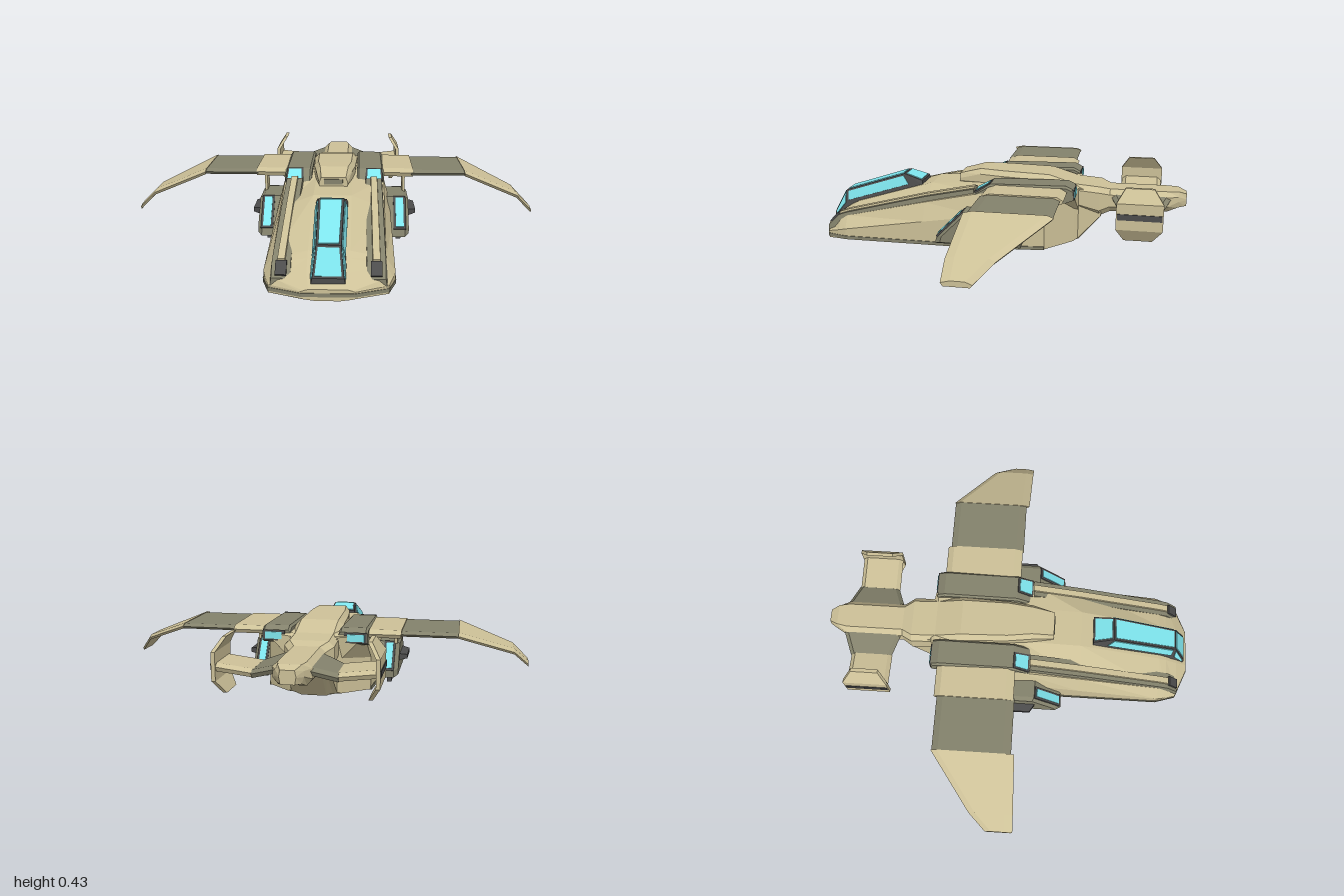
import * as THREE from 'three';

const paint = (color) => new THREE.MeshStandardMaterial({ color, flatShading: true });
const V = (x, y, z) => new THREE.Vector3(x, y, z);

// Closed solid through a list of rings; winding is fixed from the signed volume
function loft(rings) {
  const tris = [], n = rings[0].length;
  for (let r = 0; r < rings.length - 1; r++) {
    const a = rings[r], b = rings[r + 1];
    for (let i = 0; i < n; i++) {
      const j = (i + 1) % n;
      tris.push([a[i], b[i], a[j]], [a[j], b[i], b[j]]);
    }
  }
  const first = rings[0], last = rings[rings.length - 1];
  for (let i = 1; i < n - 1; i++) {
    tris.push([first[0], first[i], first[i + 1]], [last[0], last[i + 1], last[i]]);
  }
  const volume = tris.reduce((s, [a, b, c]) => s + a.dot(b.clone().sub(first[0]).cross(c.clone().sub(first[0]))) - first[0].dot(b.clone().sub(first[0]).cross(c.clone().sub(first[0]))), 0);
  const pts = tris.flatMap(([a, b, c]) => (volume < 0 ? [a, c, b] : [a, b, c]));
  const geo = new THREE.BufferGeometry().setFromPoints(pts);
  geo.computeVertexNormals();
  return geo;
}

const mirror = (rings) => rings.map((ring) => ring.map((p) => V(-p.x, p.y, p.z)));

// Rings of a box between two corners
function block(x0, x1, y0, y1, z0, z1) {
  return [z1, z0].map((z) => [V(x0, y0, z), V(x1, y0, z), V(x1, y1, z), V(x0, y1, z)]);
}

// Ring across z, symmetric in x, from half-profile points listed bottom to top
function symmetric(z, half) {
  return [...half.map(([x, y]) => V(x, y, z)), ...half.map(([x, y]) => V(-x, y, z)).reverse()];
}

// Thin plate lying on a quad, inset from its edges and straddling its surface
function plate(quad, inset, thick = 0.004) {
  const normal = quad[2].clone().sub(quad[0]).cross(quad[3].clone().sub(quad[1])).normalize();
  const inner = quad.map((p, i) => {
    const prev = quad[(i + 3) % 4].clone().sub(p).normalize();
    const next = quad[(i + 1) % 4].clone().sub(p).normalize();
    return p.clone().addScaledVector(prev, inset).addScaledVector(next, inset);
  });
  return [-1, 1].map((s) => inner.map((p) => p.clone().addScaledVector(normal, s * thick)));
}

export function createModel() {
  const tan = paint(0xcdc198), olive = paint(0x84826c), dark = paint(0x4c4c4c), glass = paint(0x7fe6ee);
  const model = new THREE.Group();
  model.name = 'spacecraft';
  const add = (name, rings, mat) => {
    const mesh = new THREE.Mesh(loft(rings), mat);
    mesh.name = name;
    model.add(mesh);
  };
  const pair = (name, rings, mat) => {
    add(name + 'Left', rings, mat);
    add(name + 'Right', mirror(rings), mat);
  };

  // Hull: z, keel x/y, bilge x, side x, side bottom/top y, shoulder x/y, deck x/y
  const hull = [
    [0.92, 0.05, 0.06, 0.10, 0.11, 0.07, 0.10, 0.10, 0.105, 0.08, 0.11],
    [0.86, 0.06, 0.035, 0.13, 0.25, 0.07, 0.105, 0.22, 0.13, 0.09, 0.16],
    [0.80, 0.065, 0.014, 0.13, 0.27, 0.075, 0.12, 0.235, 0.175, 0.09, 0.20],
    [0.76, 0.065, 0.012, 0.13, 0.28, 0.075, 0.13, 0.24, 0.19, 0.09, 0.22],
    [0.35, 0.065, 0.0, 0.13, 0.28, 0.075, 0.195, 0.245, 0.285, 0.09, 0.345],
    [0.05, 0.065, 0.055, 0.13, 0.28, 0.075, 0.24, 0.25, 0.35, 0.09, 0.36],
    [-0.25, 0.06, 0.07, 0.12, 0.25, 0.08, 0.24, 0.25, 0.37, 0.09, 0.38],
    [-0.38, 0.06, 0.078, 0.10, 0.13, 0.09, 0.26, 0.235, 0.37, 0.09, 0.375],
    [-0.40, 0.06, 0.08, 0.09, 0.11, 0.10, 0.25, 0.11, 0.36, 0.09, 0.365],
    [-0.51, 0.06, 0.21, 0.08, 0.10, 0.22, 0.28, 0.10, 0.33, 0.08, 0.35],
  ];
  add('hull', hull.map(([z, kx, ky, bx, sx, s0, s1, hx, hy, dx, dy]) =>
    symmetric(z, [[kx, ky], [bx, s0 - 0.003], [sx, s0], [sx, s1], [hx, hy], [dx, dy]])), tan);

  // Rubbing strip around the lower edge of the hull
  const outline = [[0.11, 0.923], [0.253, 0.862], [0.284, 0.76], [0.284, 0.05], [0.255, -0.25]];
  add('edgeStrip', [0.078, 0.094].map((y) => [
    ...outline.map(([x, z]) => V(x, y, z)), ...outline.map(([x, z]) => V(-x, y, z)).reverse()]), olive);

  // Spine and tail boom: z, side half width, top half width, bottom y, top y
  const spine = [
    [0.21, 0.07, 0.06, 0.33, 0.395], [0.10, 0.09, 0.07, 0.33, 0.425], [-0.02, 0.105, 0.085, 0.32, 0.422],
    [-0.25, 0.115, 0.09, 0.30, 0.415], [-0.38, 0.115, 0.09, 0.25, 0.375], [-0.50, 0.115, 0.09, 0.22, 0.365],
    [-0.55, 0.085, 0.06, 0.235, 0.35], [-0.83, 0.085, 0.06, 0.25, 0.35], [-0.88, 0.06, 0.05, 0.27, 0.35],
    [-0.92, 0.035, 0.03, 0.275, 0.335],
  ];
  add('spine', spine.map(([z, w, t, y0, y1]) =>
    symmetric(z, [[t, y0], [w, y0 + 0.03], [w, y1 - 0.025], [t, y1]])), tan);
  add('spineIntake', block(-0.045, 0.045, 0.362, 0.387, 0.2, 0.214), olive);

  // Canopy: dark framed body with inset glass
  const canopy = [[0.90, 0.075, 0.11, 0.065, 0.15], [0.835, 0.075, 0.17, 0.052, 0.27],
    [0.51, 0.075, 0.295, 0.058, 0.375], [0.41, 0.075, 0.325, 0.068, 0.345]]
    .map(([z, bx, by, tx, ty]) => [V(-bx, by, z), V(bx, by, z), V(tx, ty, z), V(-tx, ty, z)]);
  add('canopyFrame', canopy, dark);
  for (let i = 0; i < 3; i++) {
    const a = canopy[i], b = canopy[i + 1];
    add('canopyTopGlass' + i, plate([a[3], a[2], b[2], b[3]], 0.009), glass);
  }
  const sideQuad = [V(0.069, 0.205, 0.83), canopy[1][2], canopy[2][2], V(0.074, 0.318, 0.47)];
  pair('canopySideGlass', plate(sideQuad, 0.01), glass);
  pair('canopyCornerGlass', plate([V(0.073, 0.13, 0.89), canopy[0][2], canopy[1][2], V(0.07, 0.2, 0.835)], 0.008), glass);

  // Deck rails with a raised centre strip and front grille
  const rail = (x0, x1, h) => [[0.865, 0.135], [0.81, 0.19], [0.76, 0.207], [0.35, 0.311], [0.10, 0.363]]
    .map(([z, y]) => [V(x0, y - 0.05, z), V(x1, y - 0.05, z), V(x1 - 0.008, y + h, z), V(x0 + 0.008, y + h, z)]);
  pair('deckRail', rail(0.15, 0.245, 0), olive);
  pair('railStrip', rail(0.175, 0.222, 0.01).slice(1), tan);
  pair('railGrille', plate([V(0.17, 0.142, 0.862), V(0.225, 0.142, 0.862), V(0.225, 0.194, 0.81), V(0.17, 0.194, 0.81)], 0.004, 0.008), dark);

  // Shoulder nacelles with windows at both ends
  const nacelle = [[0.10, 0.34, 0.345], [0.015, 0.32, 0.395], [-0.35, 0.32, 0.402], [-0.385, 0.335, 0.385]]
    .map(([z, y0, y1]) => [V(0.115, y0, z), V(0.25, y0, z), V(0.25, y1 - 0.01, z), V(0.24, y1, z), V(0.125, y1, z), V(0.115, y1 - 0.01, z)]);
  pair('nacelle', nacelle, olive);
  const frontWindow = [V(0.155, 0.349, 0.094), V(0.245, 0.349, 0.094), V(0.24, 0.393, 0.018), V(0.16, 0.393, 0.018)];
  pair('nacelleWindowFrame', plate(frontWindow, 0, 0.005), dark);
  pair('nacelleWindow', plate(frontWindow, 0.009, 0.008), glass);
  pair('nacelleRearFrame', block(0.14, 0.245, 0.335, 0.384, -0.39, -0.37), dark);
  pair('nacelleRearWindow', block(0.155, 0.235, 0.343, 0.376, -0.394, -0.37), glass);

  // Wings: flat inner panels and drooping tips; x, top y, front z, back z, thickness
  const wing = (stations) => stations.map(([x, y, zf, zb, t]) =>
    [V(x, y - t, zf - 0.01), V(x, y - t * 0.4, zf), V(x, y, zf - 0.04), V(x, y, zb + 0.03), V(x, y - t * 0.5, zb), V(x, y - t, zb + 0.01)]);
  pair('wingRoot', wing([[0.23, 0.391, 0.03, -0.355, 0.035], [0.40, 0.391, 0.03, -0.355, 0.035]]), tan);
  pair('wingPanel', wing([[0.39, 0.385, 0.035, -0.34, 0.022], [0.665, 0.385, 0.035, -0.34, 0.022]]), olive);
  pair('wingTip', wing([[0.66, 0.388, 0.05, -0.345, 0.024], [0.925, 0.28, 0.06, -0.15, 0.024], [1.0, 0.205, 0.062, -0.07, 0.025]]), tan);

  // Side pods: profile in z and y, chamfered towards the outer face
  const podSide = [[0.27, 0.115], [0.26, 0.15], [0.13, 0.28], [-0.06, 0.28], [-0.15, 0.15], [-0.15, 0.115]];
  const podRing = (x, s) => podSide.map(([z, y]) => V(x, 0.19 + (y - 0.19) * s, 0.06 + (z - 0.06) * s));
  pair('sidePod', [podRing(0.24, 1), podRing(0.35, 1), podRing(0.37, 0.86)], olive);
  const podWindow = [V(0.295, 0.15, 0.26), V(0.355, 0.15, 0.26), V(0.355, 0.28, 0.13), V(0.295, 0.28, 0.13)];
  pair('podWindowFrame', plate(podWindow, 0, 0.005), dark);
  pair('podWindow', plate(podWindow, 0.011, 0.009), glass);
  const podRear = [V(0.295, 0.28, -0.06), V(0.35, 0.28, -0.06), V(0.35, 0.15, -0.15), V(0.295, 0.15, -0.15)];
  pair('podRearFrame', plate(podRear, 0, 0.004), dark);
  pair('podRearWindow', plate(podRear, 0.011, 0.008), glass);
  pair('podFin', [[0.36, 0.018, 0.14, -0.06], [0.408, 0.01, 0.11, -0.04]].map(([x, h, z1, z0]) =>
    [V(x, 0.2 - h, z1), V(x, 0.2 + h, z1), V(x, 0.2 + h, z0), V(x, 0.2 - h, z0)]), dark);
  pair('wingStrut', block(0.345, 0.358, 0.27, 0.365, -0.07, 0.02), tan);

  // Skids under the hull and pods
  pair('hullSkid', block(0.192, 0.212, 0.055, 0.085, 0.3, 0.72), dark);
  pair('podSkid', block(0.31, 0.333, 0.075, 0.12, -0.08, 0.18), dark);

  // Tailplane, inner and outer panels; x, top y, front z, back z
  const tail = (stations) => stations.map(([x, y, zf, zb]) =>
    [V(x, y - 0.035, zf - 0.01), V(x, y - 0.015, zf), V(x, y, zf - 0.02), V(x, y, zb + 0.02), V(x, y - 0.015, zb), V(x, y - 0.035, zb + 0.01)]);
  pair('tailplaneInner', tail([[0.06, 0.335, -0.55, -0.85], [0.185, 0.295, -0.6, -0.805]]), olive);
  pair('tailplaneOuter', tail([[0.18, 0.297, -0.595, -0.8], [0.35, 0.318, -0.595, -0.8]]), tan);

  // Bent end fins with a dark side stripe; y, x, front z, back z
  pair('tailFin', [[0.18, 0.305, -0.63, -0.76], [0.24, 0.34, -0.592, -0.805], [0.365, 0.34, -0.592, -0.805], [0.428, 0.30, -0.63, -0.76]]
    .map(([y, x, zf, zb]) => [V(x, y, zf), V(x + 0.018, y, zf), V(x + 0.018, y, zb), V(x, y, zb)]), tan);
  pair('finStripe', block(0.35, 0.362, 0.288, 0.316, -0.8, -0.597), dark);

  return model;
}
